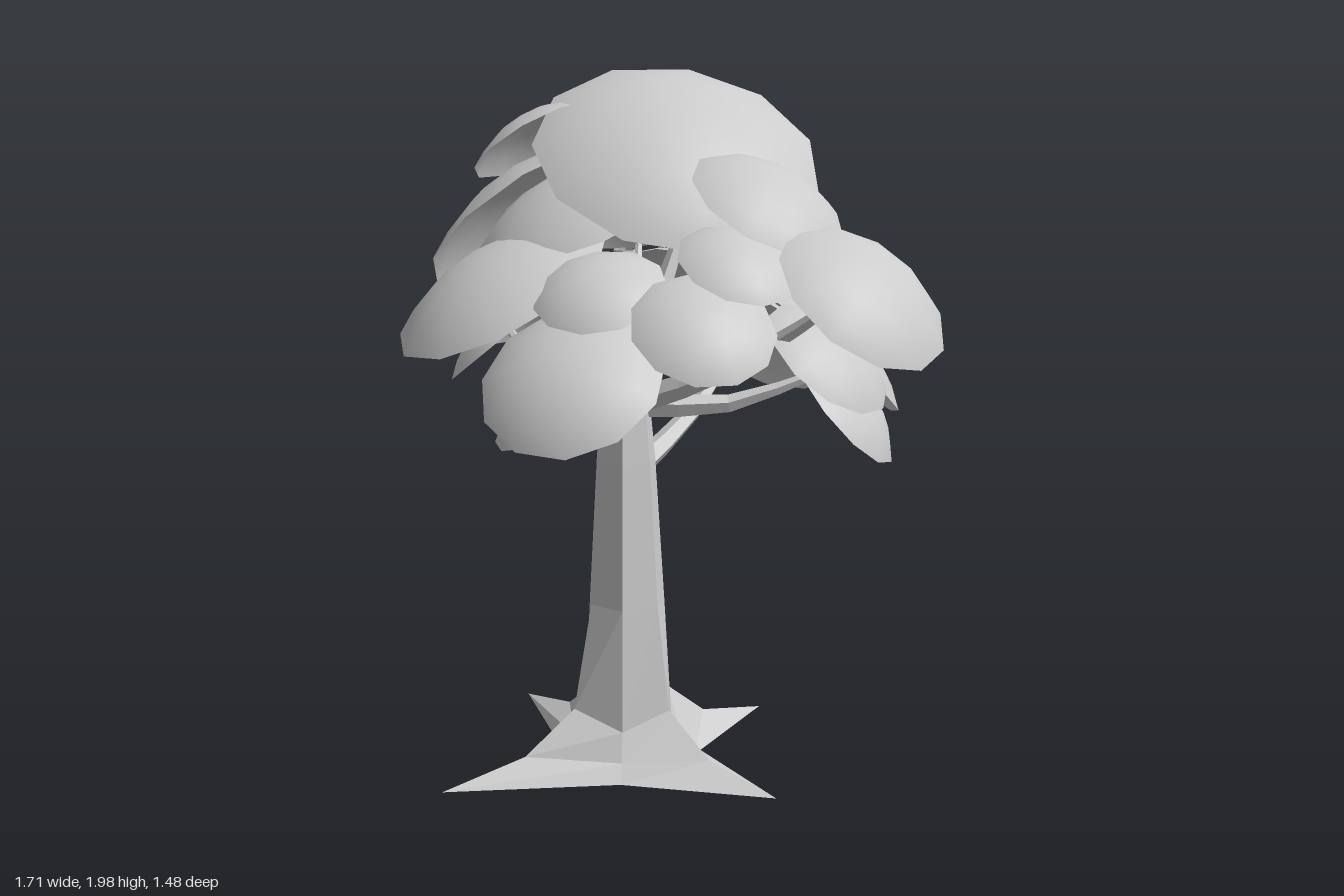
import * as THREE from 'three';

const bark = new THREE.MeshStandardMaterial({ color: 0xcccccc, flatShading: true, side: THREE.DoubleSide });
const leaf = new THREE.MeshStandardMaterial({ color: 0xcccccc, side: THREE.DoubleSide });
const UP = new THREE.Vector3(0, 1, 0);

function addMesh(group, name, geometry, material) {
  const mesh = new THREE.Mesh(geometry, material);
  mesh.name = name;
  group.add(mesh);
  return mesh;
}

function addGroup(parent, name) {
  const group = new THREE.Group();
  group.name = name;
  parent.add(group);
  return group;
}

// Skin of triangles over a stack of rings with equal point counts
function loft(rings) {
  const n = rings[0].length, index = [];
  for (let i = 0; i < rings.length - 1; i++) {
    for (let j = 0; j < n; j++) {
      const a = i * n + j, b = i * n + (j + 1) % n;
      index.push(a, a + n, b, b, a + n, b + n);
    }
  }
  const g = new THREE.BufferGeometry();
  g.setAttribute('position', new THREE.Float32BufferAttribute(rings.flat(2), 3));
  g.setIndex(index);
  g.computeVertexNormals();
  return g;
}

// Trunk flaring into four roots: even points of each ring are roots, odd ones the hollows between
function trunkGeometry() {
  const angles = [0, 60, 120, 161, 202, 242, 282, 321].map(THREE.MathUtils.degToRad);
  const rootLengths = [0.515, 0.575, 0.59, 0.56];
  // share of root length, least root radius, root height, hollow radius, hollow height
  const levels = [
    [1, 0, 0.01, 0.20, 0.01],
    [0.56, 0, 0.07, 0.165, 0.06],
    [0.29, 0, 0.19, 0.13, 0.14],
    [0, 0.11, 0.50, 0.11, 0.50],
    [0, 0.085, 0.92, 0.085, 0.92],
    [0, 0.058, 1.22, 0.058, 1.22],
    [0, 0.03, 1.52, 0.03, 1.52],
  ];
  return loft(levels.map(([share, least, ry, hr, hy]) => angles.map((a, j) => {
    const r = j % 2 ? hr : least + share * rootLengths[j / 2];
    return [-0.11 + r * Math.cos(a), j % 2 ? hy : ry, 0.11 + r * Math.sin(a)];
  })));
}

// Five-sided sagging branch from the trunk, narrowing towards its end
function branchGeometry(startHeight, ...end) {
  const start = new THREE.Vector3(-0.11, startHeight, 0.1);
  const tip = new THREE.Vector3(...end);
  const bend = start.clone().lerp(tip, 0.5);
  bend.y -= 0.05;
  const curve = new THREE.CatmullRomCurve3([start, bend, tip]);
  const steps = 4, sides = 5;
  const g = new THREE.TubeGeometry(curve, steps, 0.042, sides);
  const pos = g.attributes.position, v = new THREE.Vector3();
  for (let i = 0; i < pos.count; i++) {
    const t = Math.floor(i / (sides + 1)) / steps;
    v.fromBufferAttribute(pos, i).lerp(curve.getPointAt(t), 0.75 * t);
    pos.setXYZ(i, v.x, v.y, v.z);
  }
  return g;
}

// Shallow dome with a rim of radius 1 at y = 0
function domeGeometry() {
  const a = 0.7;
  return new THREE.SphereGeometry(1 / Math.sin(a), 11, 4, 0, Math.PI * 2, 0, a)
    .translate(0, -1 / Math.tan(a), 0);
}

export function createModel() {
  const tree = new THREE.Group();
  tree.name = 'tree';
  addMesh(tree, 'trunkAndRoots', trunkGeometry(), bark);

  // Branches: height on the trunk, then the tip
  const branches = addGroup(tree, 'branches');
  [
    [0.95, -0.58, 1.24, 0.05],
    [0.87, -0.08, 1.20, -0.48],
    [1.08, 0.65, 1.50, 0.13],
    [1.08, 0.36, 1.18, -0.20],
    [1.10, 0.03, 1.32, 0.46],
    [1.12, -0.28, 1.46, 0.36],
    [1.14, -0.38, 1.45, -0.34],
    [1.20, 0.20, 1.62, 0.08],
    [1.20, -0.05, 1.66, -0.15],
    [1.18, -0.48, 1.56, 0],
  ].forEach(b => addMesh(branches, 'branch', branchGeometry(...b), bark));

  const dome = domeGeometry();
  function addDome(group, x, y, z, r, facing) {
    const cap = addMesh(group, 'leafDome', dome, leaf);
    cap.position.set(x, y, z);
    cap.scale.setScalar(r);
    cap.quaternion.setFromUnitVectors(UP, facing.normalize());
    cap.rotateY(group.children.length * 0.7);
  }

  // Crown domes: rim centre, radius, lean in x and z
  const crown = addGroup(tree, 'crownFoliage');
  [
    [0.00, 1.775, 0.01, 0.40, 0.5, 0.43],
    [-0.05, 1.63, -0.22, 0.40, 0.02, -0.58],
    [-0.42, 1.80, 0.09, 0.205, -0.7, 0],
    [-0.55, 1.56, -0.08, 0.37, -0.85, -0.05],
    [-0.25, 1.61, 0.11, 0.32, -0.2, 0.36],
    [0.35, 1.68, 0.10, 0.22, 0.62, 0.1],
    [-0.67, 1.27, -0.05, 0.245, -0.75, -0.35],
    [-0.52, 1.23, 0.14, 0.20, -0.75, 0.35],
  ].forEach(([x, y, z, r, leanX, leanZ]) =>
    addDome(crown, x, y, z, r, new THREE.Vector3(leanX, 1, leanZ)));

  // Outer domes: rim centre and radius, all facing away from a point in the trunk
  const outer = addGroup(tree, 'outerFoliage');
  const heart = new THREE.Vector3(-0.1, 0.6, 0);
  [
    // left
    [0.655, 1.47, 0.13, 0.25],
    [0.36, 1.54, 0.25, 0.17],
    [0.365, 1.40, 0.43, 0.19],
    [0.47, 1.26, -0.02, 0.20],
    [0.42, 1.09, -0.20, 0.21],
    // front
    [0.04, 1.465, 0.43, 0.18],
    [0.04, 1.25, 0.55, 0.25],
    [-0.32, 1.42, 0.39, 0.32],
    [-0.28, 1.06, 0.30, 0.14],
    // back
    [-0.46, 1.50, -0.38, 0.21],
    [-0.37, 1.27, -0.50, 0.28],
    [-0.10, 1.15, -0.56, 0.26],
    [0.23, 1.18, -0.42, 0.28],
    [0.19, 1.52, -0.32, 0.19],
  ].forEach(([x, y, z, r]) =>
    addDome(outer, x, y, z, r, new THREE.Vector3(x, y, z).sub(heart)));

  return tree;
}
